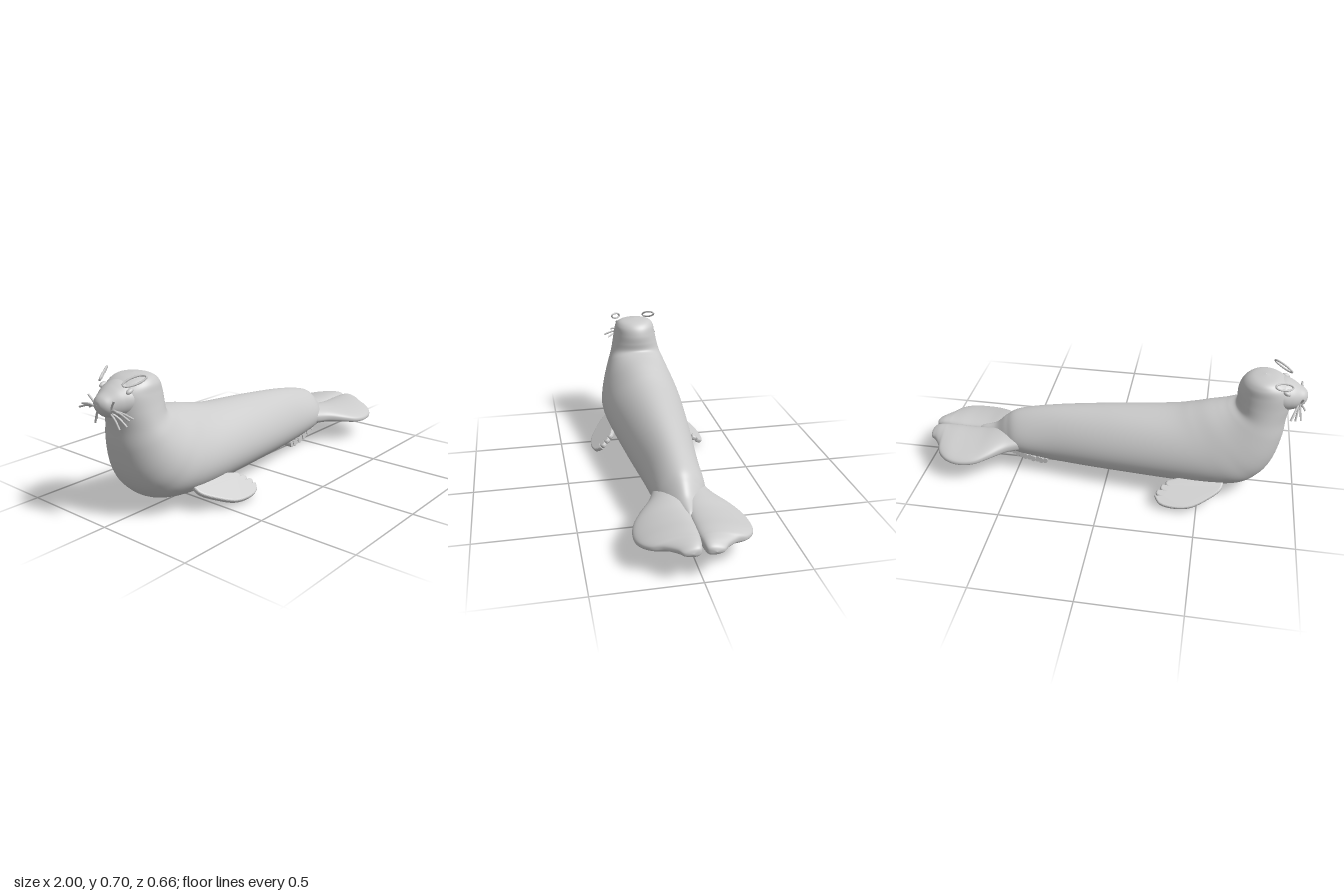
import * as THREE from 'three';

const grey = new THREE.MeshStandardMaterial({ color: 0xcccccc });

// Catmull-Rom blend of a list of equal-length number rows
function blend(rows, t) {
  const f = t * (rows.length - 1);
  const i = Math.min(Math.floor(f), rows.length - 2);
  const u = f - i;
  const at = k => rows[Math.max(0, Math.min(rows.length - 1, k))];
  return rows[0].map((_, c) => {
    const a = at(i - 1)[c], b = at(i)[c], d = at(i + 1)[c], e = at(i + 2)[c];
    const m0 = (d - a) / 2, m1 = (e - b) / 2;
    return b + u * (m0 + u * (3 * (d - b) - 2 * m0 - m1 + u * (2 * (b - d) + m0 + m1)));
  });
}

// Skin through closed rings; point(row, angle) gives [x, y, z]
function loft(rows, point, steps = 80, sides = 48) {
  const pos = [], idx = [];
  for (let i = 0; i <= steps; i++) {
    const row = blend(rows, i / steps);
    for (let j = 0; j < sides; j++) pos.push(...point(row, j / sides * Math.PI * 2));
  }
  for (let i = 0; i < steps; i++) for (let j = 0; j < sides; j++) {
    const a = i * sides + j, b = i * sides + (j + 1) % sides;
    idx.push(a, b, a + sides, b, b + sides, a + sides);
  }
  const g = new THREE.BufferGeometry();
  g.setAttribute('position', new THREE.Float32BufferAttribute(pos, 3));
  // turn the faces outward using the signed volume
  const p = k => new THREE.Vector3().fromArray(pos, k * 3);
  let vol = 0;
  for (let k = 0; k < idx.length; k += 3) vol += p(idx[k]).dot(p(idx[k + 1]).cross(p(idx[k + 2])));
  if (vol < 0) idx.reverse();
  g.setIndex(idx);
  g.computeVertexNormals();
  return g;
}

// Copy reflected across z = 0 with the winding restored
function mirrored(geometry) {
  const g = geometry.index ? geometry.toNonIndexed() : geometry.clone();
  for (const at of Object.values(g.attributes)) {
    const n = at.itemSize;
    for (let i = 0; i < at.count; i += 3) for (let c = 0; c < n; c++) {
      const q = at.array[(i + 1) * n + c];
      at.array[(i + 1) * n + c] = at.array[(i + 2) * n + c];
      at.array[(i + 2) * n + c] = q;
    }
    if (n === 3) for (let i = 0; i < at.count; i++) at.setZ(i, -at.getZ(i));
  }
  return g;
}

export function createModel() {
  const model = new THREE.Group();
  model.name = 'seal';
  const add = (name, geometry) => {
    const m = new THREE.Mesh(geometry, grey);
    m.name = name;
    model.add(m);
  };
  const addPair = (name, geometry) => {
    add(name + 'Left', geometry);
    add(name + 'Right', mirrored(geometry));
  };

  // Head, neck and body: back x, y, front x, y, half width, low-heavy bias
  const body = [
    [-0.785, 0.677, -0.787, 0.677, 0.001, 0],
    [-0.715, 0.666, -0.85, 0.668, 0.08, 0],
    [-0.675, 0.637, -0.9, 0.642, 0.112, 0],
    [-0.657, 0.59, -0.93, 0.6, 0.123, 0],
    [-0.655, 0.545, -0.925, 0.52, 0.135, 0],
    [-0.652, 0.502, -0.912, 0.44, 0.15, 0],
    [-0.61, 0.487, -0.905, 0.34, 0.172, 0.05],
    [-0.56, 0.478, -0.875, 0.21, 0.198, 0.1],
    [-0.5, 0.467, -0.82, 0.12, 0.217, 0.15],
    [-0.42, 0.447, -0.72, 0.06, 0.229, 0.2],
    [-0.3, 0.423, -0.5, 0.037, 0.222, 0.2],
    [0, 0.396, -0.05, 0.037, 0.183, 0.2],
    [0.3, 0.36, 0.26, 0.045, 0.147, 0.2],
    [0.5, 0.317, 0.45, 0.072, 0.13, 0.25],
    [0.575, 0.275, 0.53, 0.09, 0.105, 0.35],
    [0.64, 0.218, 0.6, 0.11, 0.07, 0.35],
    [0.72, 0.19, 0.68, 0.13, 0.03, 0.2],
    [0.74, 0.165, 0.74, 0.163, 0.001, 0],
  ];
  add('body', loft(body, ([bx, by, fx, fy, w, bias], a) => {
    const s = (1 - Math.cos(a)) / 2;
    return [bx + (fx - bx) * s, by + (fy - by) * s, w * Math.sin(a) * (1 - bias * Math.cos(a))];
  }, 150, 64));

  // Muzzle: x, centre y, half height, half width
  const muzzle = [
    [-0.78, 0.58, 0.075, 0.1], [-0.87, 0.578, 0.082, 0.102], [-0.92, 0.572, 0.073, 0.085],
    [-0.96, 0.565, 0.056, 0.06], [-0.985, 0.567, 0.038, 0.042], [-0.998, 0.57, 0.018, 0.02],
    [-1, 0.57, 0.001, 0.001],
  ];
  add('muzzle', loft(muzzle, ([x, y, h, w], a) => [x, y + h * Math.cos(a), w * Math.sin(a)], 40));

  // Slender loops above the eyes
  const loop = [];
  for (let i = 0; i < 16; i++) {
    const a = i / 16 * Math.PI * 2, c = Math.cos(a), s = Math.sin(a);
    loop.push(new THREE.Vector3(-0.872 + 0.043 * c - 0.008 * s, 0.67 + 0.018 * c + 0.011 * s, 0.102 + 0.025 * c - 0.013 * s));
  }
  addPair('browLoop', new THREE.TubeGeometry(new THREE.CatmullRomCurve3(loop, true), 48, 0.005, 8, true));

  // Eyes
  const eye = new THREE.SphereGeometry(1, 20, 14);
  eye.scale(0.02, 0.011, 0.012).rotateZ(0.4).translate(-0.89, 0.625, 0.088);
  addPair('eye', eye);

  // Whiskers fanning from the muzzle
  const tips = [[-0.965, 0.525, 0.165], [-0.925, 0.52, 0.145], [-0.985, 0.555, 0.12],
    [-0.925, 0.475, 0.1], [-0.95, 0.465, 0.08], [-0.975, 0.6, 0.085]];
  tips.forEach(([x, y, z], i) => {
    const root = new THREE.Vector3(-0.962, 0.55 - 0.004 * i, 0.04);
    const tip = new THREE.Vector3(x, y, z);
    const mid = root.clone().lerp(tip, 0.5).add(new THREE.Vector3(0, 0.008, 0));
    addPair('whisker' + (i + 1), new THREE.TubeGeometry(new THREE.CatmullRomCurve3([root, mid, tip]), 10, 0.005, 6));
  });

  // Front flippers: plates sloping out and down, with a notched trailing edge
  const outline = new THREE.Shape();
  outline.moveTo(-0.62, -0.03);
  outline.splineThru([[-0.61, 0.03], [-0.55, 0.085], [-0.47, 0.135], [-0.39, 0.148], [-0.32, 0.137], [-0.292, 0.105]]
    .map(p => new THREE.Vector2(...p)));
  for (const [nx, ny, x, y] of [[-0.33, 0.097, -0.3, 0.075], [-0.345, 0.068, -0.32, 0.045], [-0.365, 0.04, -0.345, 0.02]]) {
    outline.lineTo(nx, ny);
    outline.quadraticCurveTo(x + 0.015, (ny + y) / 2 + 0.01, x, y);
  }
  outline.lineTo(-0.4, 0.0);
  outline.lineTo(-0.45, -0.03);
  const flipper = new THREE.ExtrudeGeometry(outline, {
    depth: 0.008, bevelThickness: 0.009, bevelSize: 0.009, bevelSegments: 4, curveSegments: 10,
  });
  flipper.translate(0, 0, -0.004).rotateX(2.19).translate(0, 0.113, 0.2);
  addPair('frontFlipper', flipper);

  // Rear flippers: x, inner z, outer z, centre y, half thickness
  const rear = [
    [0.4, 0, 0.06, 0.17, 0.02], [0.46, -0.005, 0.12, 0.17, 0.05], [0.55, -0.005, 0.162, 0.168, 0.048],
    [0.63, -0.005, 0.222, 0.165, 0.043], [0.7, -0.005, 0.262, 0.16, 0.039], [0.78, -0.005, 0.274, 0.158, 0.038],
    [0.85, -0.005, 0.26, 0.16, 0.037], [0.9, -0.003, 0.22, 0.16, 0.035], [0.925, 0, 0.165, 0.16, 0.033],
    [0.96, 0.004, 0.117, 0.157, 0.03], [0.99, 0.015, 0.09, 0.153, 0.02], [1, 0.05, 0.052, 0.152, 0.001],
  ];
  addPair('rearFlipper', loft(rear, ([x, z0, z1, y, h], a) => {
    const c = Math.cos(a), s = Math.sin(a);
    const z = (z0 + z1) / 2 + (z1 - z0) / 2 * c;
    const lift = Math.sign(s) * Math.pow(Math.abs(s), 0.7);
    return [x, y + h * lift * (1 - 0.25 * c) - 0.5 * z * z, z];
  }));

  // Ribbed strip beneath the tail
  const path = new THREE.CatmullRomCurve3([[0.36, 0.018, 0], [0.45, 0.032, 0], [0.53, 0.062, 0], [0.61, 0.11, 0]]
    .map(p => new THREE.Vector3(...p)));
  const ribs = 13;
  for (let i = 0; i < ribs; i++) {
    const p = path.getPointAt(i / (ribs - 1)), t = path.getTangentAt(i / (ribs - 1));
    const rib = new THREE.CylinderGeometry(0.018, 0.018, 0.088 + 0.01 * (i % 2), 12);
    rib.rotateX(Math.PI / 2).scale(0.75, 1, 1).rotateZ(Math.atan2(t.y, t.x)).translate(p.x, p.y, 0);
    add('tailRib' + (i + 1), rib);
  }
  return model;
}
